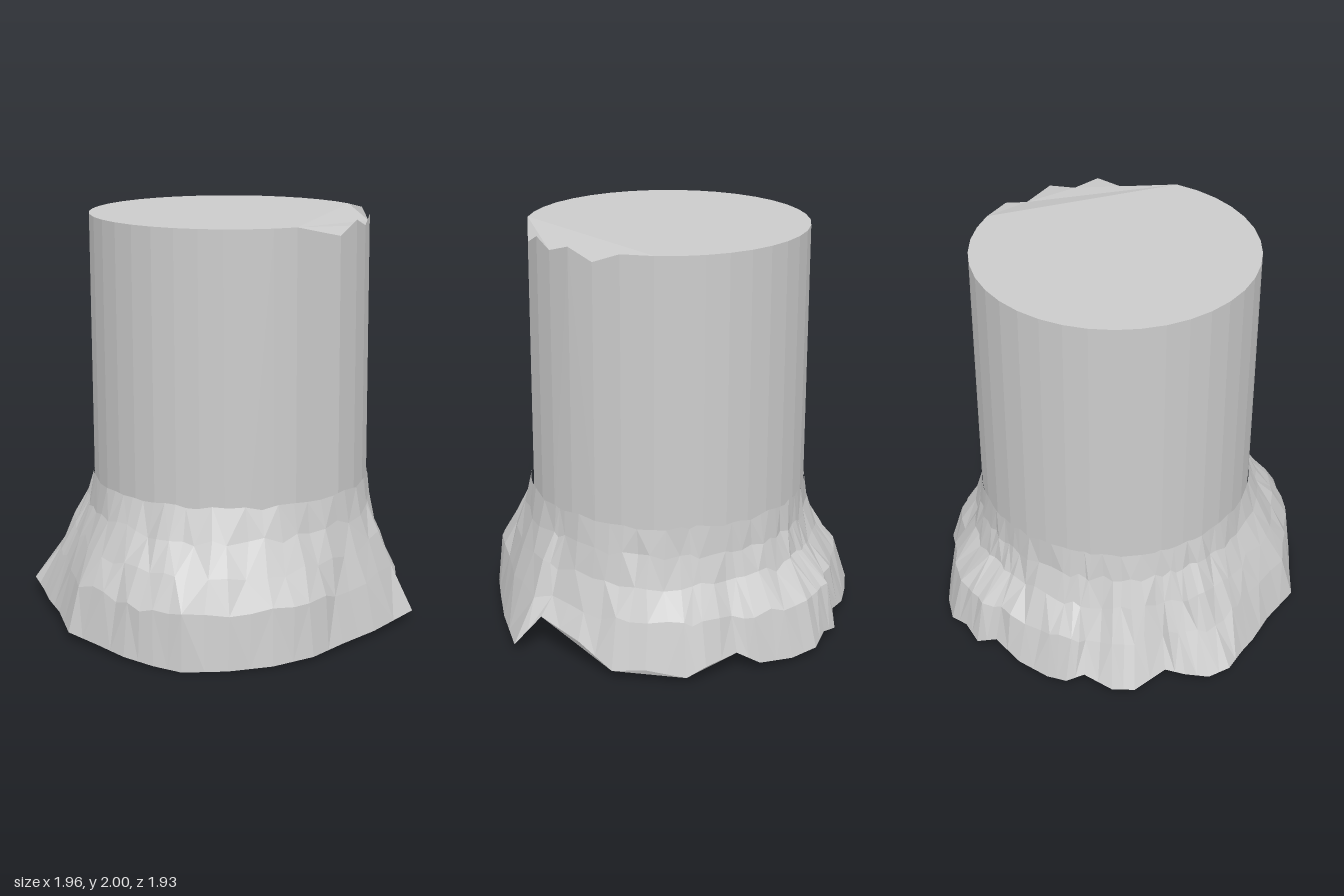
import * as THREE from 'three';

// Foot outline as [x, z, y], counter-clockwise seen from above
const FOOT = [
  [0.98, 0.17, 0.04], [0.89, 0.07, 0.19], [0.885, -0.17, 0.14], [0.86, -0.36, 0.04], [0.78, -0.5, 0.06],
  [0.67, -0.66, 0.03], [0.6, -0.72, 0.08], [0.43, -0.77, 0.1], [0.35, -0.85, 0.04], [0.2, -0.93, 0.03],
  [0.06, -0.97, 0.04], [-0.05, -0.94, 0.07], [-0.16, -0.93, 0.04], [-0.24, -0.86, 0.09], [-0.4, -0.81, 0.05],
  [-0.55, -0.73, 0.04], [-0.64, -0.67, 0.06], [-0.68, -0.59, 0.1], [-0.8, -0.5, 0.06], [-0.85, -0.4, 0.05],
  [-0.84, -0.22, 0.09], [-0.9, -0.14, 0.07], [-0.98, -0.05, 0.08], [-0.98, 0.07, 0.08], [-0.9, 0.2, 0.06],
  [-0.85, 0.3, 0.05], [-0.76, 0.45, 0.05], [-0.66, 0.67, 0.04], [-0.5, 0.77, 0.03], [-0.35, 0.87, 0.02],
  [-0.2, 0.93, 0.01], [-0.06, 0.96, 0], [0.15, 0.93, 0.005], [0.35, 0.86, 0.01], [0.53, 0.75, 0.02],
  [0.66, 0.6, 0.03], [0.8, 0.43, 0.03],
];

// The trunk leans very slightly: axis and radius at its foot and top
const BASE = { x: 0.037, z: -0.01, r: 0.69 };
const TOP = { x: 0.03, z: -0.01, r: 0.683 };

// Flare levels: height and how far the wall has spread at the sides, front and back
const LEVELS = [
  { y: 0.27, side: 0.6, front: 0.93, back: 0.78 },
  { y: 0.42, side: 0.33, front: 0.62, back: 0.22 },
  { y: 0.56, side: 0.09, front: 0.25, back: 0.06 },
  { y: 0.7, side: 0, front: 0, back: 0 },
];

let seed;
function jitter(amount) {
  seed = (seed * 16807) % 2147483647;
  return (seed / 2147483647 - 0.5) * 2 * amount;
}

const material = new THREE.MeshStandardMaterial({ color: 0xcccccc, flatShading: true });

function meshFrom(name, triangles) {
  const geometry = new THREE.BufferGeometry().setFromPoints(triangles);
  geometry.computeVertexNormals();
  const mesh = new THREE.Mesh(geometry, material);
  mesh.name = name;
  return mesh;
}

// Wall through rings ordered from bottom to top
function wall(rings) {
  const out = [];
  for (let k = 0; k + 1 < rings.length; k++) {
    const a = rings[k], b = rings[k + 1], n = a.length;
    for (let i = 0; i < n; i++) {
      const j = (i + 1) % n;
      if ((i + k) % 2) out.push(a[i], a[j], b[j], a[i], b[j], b[i]);
      else out.push(a[i], a[j], b[i], a[j], b[j], b[i]);
    }
  }
  return out;
}

// Point around an axis, angle in radians
function around(axis, angle, radius, y) {
  return new THREE.Vector3(axis.x + radius * Math.cos(angle), y, axis.z - radius * Math.sin(angle));
}

function createTrunk(group) {
  // Chipped stretch of the rim: [degrees, drop]; the rest is an even circle
  const rim = [[-56, 0], [-34, 0.06], [-22, 0], [-12, 0.04], [-1, 0], [10.5, 0.05], [22, 0], [35, 0]];
  for (let i = 1; i < 28; i++) rim.push([35 + (269 * i) / 28, 0]);
  const ring = (axis, height) =>
    rim.map(([a, drop]) => around(axis, THREE.MathUtils.degToRad(a), axis.r, height(drop)));
  const top = ring(TOP, (drop) => 2 - drop);
  group.add(meshFrom('trunk', wall([ring(BASE, () => 0.68), top])));

  // Cut face: a fan across the low points of the chip, with a small splinter up to each peak
  const peaks = [2, 4, 6];
  const low = top.filter((p, i) => !peaks.includes(i));
  const cut = [];
  for (let i = 1; i + 1 < low.length; i++) cut.push(low[0], low[i], low[i + 1]);
  peaks.forEach((i) => cut.push(top[i - 1], top[i], top[i + 1]));
  group.add(meshFrom('topCut', cut));
}

function createFlare(group) {
  // Outline with a midpoint on every edge
  const corners = FOOT.map(([x, z, y]) => new THREE.Vector3(x, y, z));
  const foot = corners.flatMap((p, i) => [p, p.clone().lerp(corners[(i + 1) % corners.length], 0.5)]);

  const rings = [foot];
  LEVELS.forEach((level, k) => {
    const last = k === LEVELS.length - 1;
    rings.push(foot.map((p) => {
      const dx = p.x - BASE.x, dz = p.z - BASE.z, r = Math.hypot(dx, dz);
      const s = dz / r;
      const spread = THREE.MathUtils.lerp(level.side, s > 0 ? level.front : level.back, s * s);
      const radius = THREE.MathUtils.lerp(BASE.r, r, spread) + (last ? 0.002 : jitter(0.011));
      const angle = Math.atan2(-dz, dx) + (last ? 0 : jitter(0.015));
      return around(BASE, angle, radius, level.y + jitter(last ? 0.012 : 0.02));
    }));
  });
  group.add(meshFrom('rootFlare', wall(rings)));

  // Underside stretched straight across the outline
  const outline = corners.map((p) => new THREE.Vector2(p.x, -p.z));
  const under = THREE.ShapeUtils.triangulateShape(outline, [])
    .flatMap(([a, b, c]) => [corners[a], corners[c], corners[b]]);
  group.add(meshFrom('underside', under));
}

export function createModel() {
  const group = new THREE.Group();
  group.name = 'treeStump';
  seed = 7;
  createTrunk(group);
  createFlare(group);
  return group;
}
